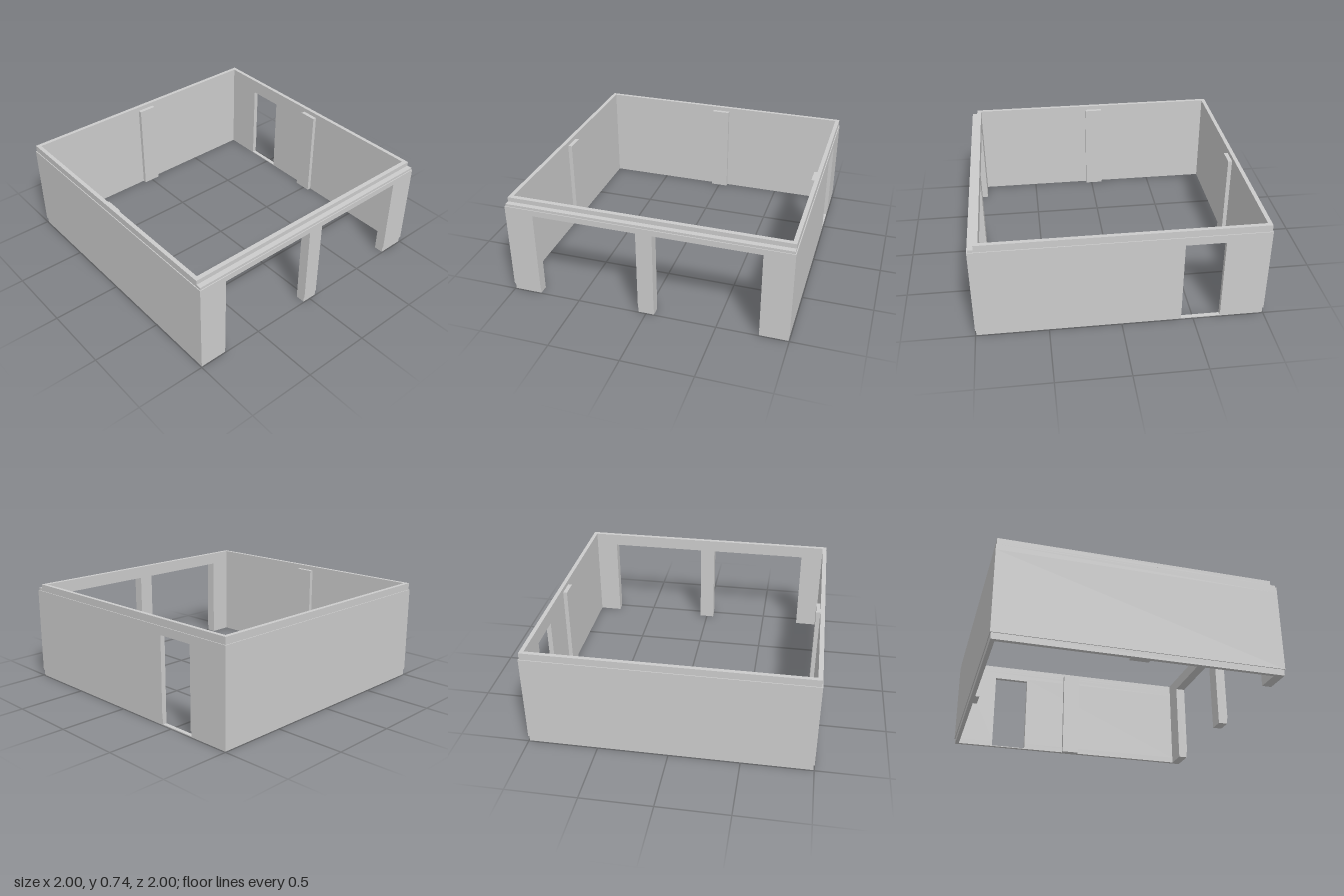
import * as THREE from 'three';

const material = new THREE.MeshStandardMaterial({ color: 0xcccccc, flatShading: true });

// Inner faces of the walls, outer inset of plinth and cap, and openings
const IN = 0.965, IN_RIGHT = 0.925, INSET = 0.006;
const DOOR = [-0.69, -0.415], DOOR_TOP = 0.625;
const BAY_OUT = 0.796, BAY_IN = 0.057, BAY_TOP = 0.643;
const PLINTH = 0.045, LEDGE = 0.685, CAP = 0.703, TOP = 0.735;

export function createModel() {
  const model = new THREE.Group();

  // Plan given as [x, z] corners, raised from y0 to y1
  const toPoints = (plan) => plan.map(([x, z]) => new THREE.Vector2(x, -z));
  function raise(name, plan, y0, y1, hole) {
    const shape = new THREE.Shape(toPoints(plan));
    if (hole) shape.holes.push(new THREE.Path(toPoints(hole)));
    const geo = new THREE.ExtrudeGeometry(shape, { depth: y1 - y0, bevelEnabled: false });
    geo.rotateX(-Math.PI / 2);
    geo.translate(0, y0, 0);
    const mesh = new THREE.Mesh(geo, material);
    mesh.name = name;
    model.add(mesh);
  }
  const rect = (x0, x1, z0, z1) => [[x0, z1], [x1, z1], [x1, z0], [x0, z0]];

  // Walls below the lintels: one long run, one short run and the post between the bays
  function lowerWalls(name, y0, y1, inset) {
    const o = 1 - inset;
    raise(name + 'LongRun', [
      [DOOR[0], -o], [-o, -o], [-o, o], [o, o], [o, BAY_OUT], [IN_RIGHT, BAY_OUT],
      [IN_RIGHT, IN], [-IN, IN], [-IN, -IN], [DOOR[0], -IN],
    ], y0, y1);
    raise(name + 'ShortRun', [
      [DOOR[1], -o], [DOOR[1], -IN], [IN_RIGHT, -IN], [IN_RIGHT, -BAY_OUT], [o, -BAY_OUT], [o, -o],
    ], y0, y1);
    raise(name + 'Post', rect(IN_RIGHT, o, -BAY_IN, BAY_IN), y0, y1);
  }
  lowerWalls('plinth', 0, PLINTH, INSET);
  lowerWalls('wall', PLINTH, BAY_TOP, 0);

  // Closed rings above the openings; the cap steps back on the bay side
  const opening = rect(-IN, IN_RIGHT, -IN, IN);
  const ring = (name, y0, y1, o, right) => raise(name, rect(-o, right, -o, o), y0, y1, opening);
  ring('lintelRing', BAY_TOP, LEDGE, 1, 1);
  ring('ledgeRing', LEDGE, CAP, 1 - INSET, 1 - INSET);
  ring('capRing', CAP, TOP, 1 - INSET, 0.957);

  // Door head and thin threshold
  raise('doorHead', rect(DOOR[0], DOOR[1], -1, -IN), DOOR_TOP, BAY_TOP);
  raise('doorThreshold', rect(DOOR[0], DOOR[1], -1 + INSET, -IN), 0, 0.006);

  // Pilasters on the inside of the three closed walls
  raise('frontPilaster', rect(-0.087, 0.047, 0.935, IN), 0, CAP);
  raise('backPilaster', rect(-0.087, 0.047, -IN, -0.935), 0, CAP);
  raise('sidePilaster', rect(-IN, -0.935, -0.068, 0.068), 0, CAP);

  return model;
}
